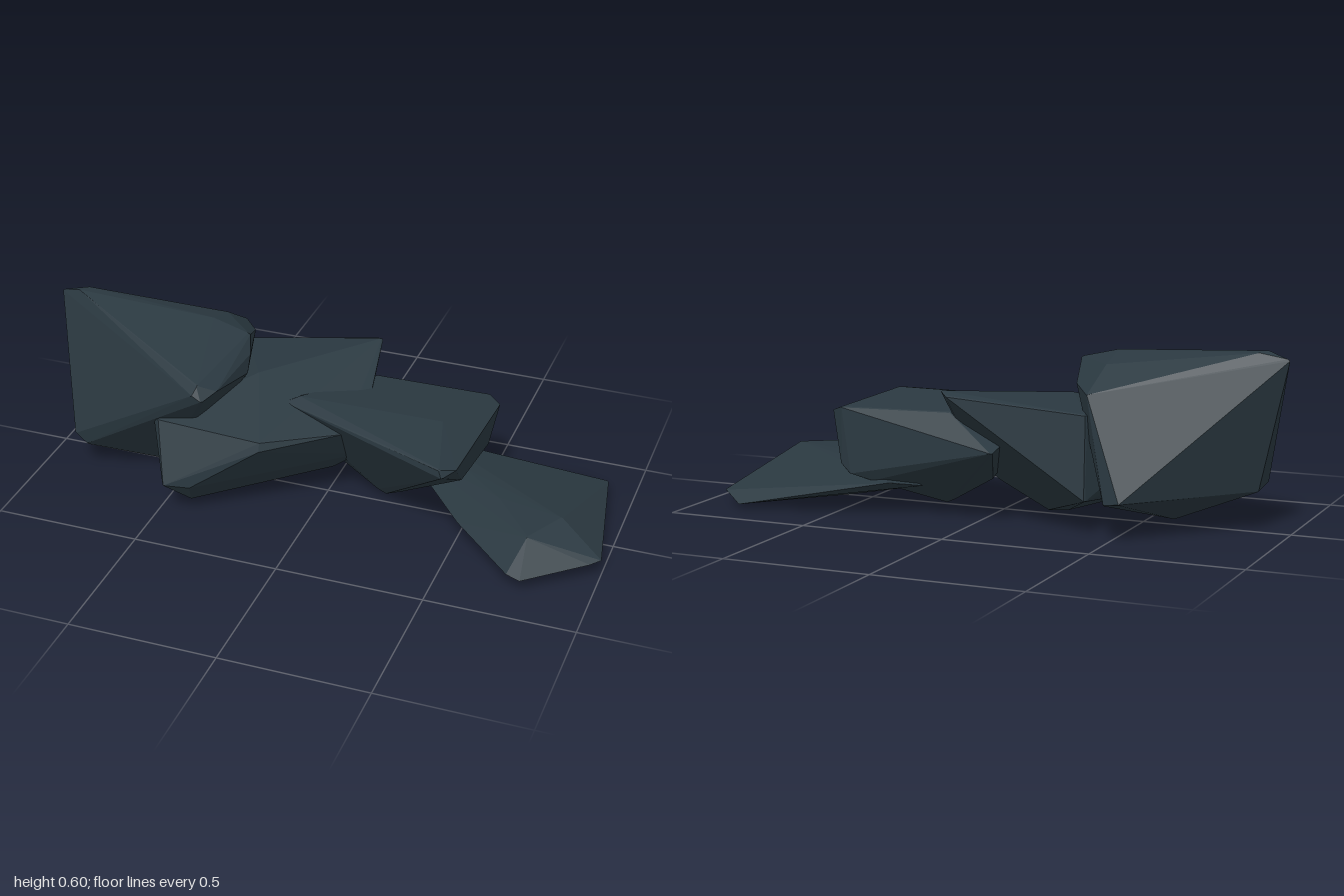
import * as THREE from 'three';
import { ConvexGeometry } from 'three/addons/geometries/ConvexGeometry.js';

// Convex boulder: every corner is chamfered into three points pulled slightly towards the middle
function boulder(name, corners, material, bevel = 0.03) {
  const pts = corners.map((c) => new THREE.Vector3(...c));
  const mid = new THREE.Box3().setFromPoints(pts).getCenter(new THREE.Vector3());
  const chamfered = [];
  for (const p of pts) {
    for (const axis of ['x', 'y', 'z']) {
      const q = p.clone().lerp(mid, bevel);
      q[axis] = p[axis];
      chamfered.push(q);
    }
  }
  const mesh = new THREE.Mesh(new ConvexGeometry(chamfered), material);
  mesh.name = name;
  return mesh;
}

export function createModel() {
  const group = new THREE.Group();
  group.name = 'rockPile';
  const stone = new THREE.MeshStandardMaterial({ color: 0x2a3840 });
  stone.name = 'dark slate';

  // Tall pointed rock at the right end
  group.add(boulder('tallRock', [
    [-1, 0.575, -0.06], [-0.93, 0.596, -0.035], [-0.91, 0.592, -0.075], [-0.42, 0.575, -0.04],
    [-0.29, 0.545, -0.03], [-0.27, 0.5, 0.02], [-0.27, 0.44, 0.05], [-0.35, 0.495, 0.28],
    [-0.33, 0.45, 0.298], [-0.36, 0.47, 0.3], [-0.3, 0.47, 0.25],
    [-0.4, 0.46, -0.28], [-0.33, 0.48, -0.18], [-0.42, 0.54, -0.16],
    [-0.54, 0.125, -0.355], [-0.48, 0.115, -0.335], [-0.88, 0.135, 0.155], [-0.84, 0.1, 0.155],
    [-0.89, 0.13, 0], [-0.6, 0.013, 0.02], [-0.5, 0.1, 0.05],
  ], stone, 0.02));

  // Broad rock leaning under the tall one
  group.add(boulder('broadRock', [
    [-0.54, 0.3, 0.23], [-0.52, 0.32, 0.25], [-0.47, 0.12, 0.34], [-0.38, 0.12, 0.325],
    [-0.4, 0.04, 0.27], [-0.14, 0.32, 0.275], [-0.14, 0.29, 0.285], [-0.22, 0.008, 0.03],
    [-0.17, 0.015, -0.02], [0.02, 0.1, 0], [0.1, 0.315, 0.12], [0.115, 0.25, 0.03],
    [0.11, 0.17, 0], [0.125, 0.36, -0.07], [0.085, 0.447, -0.325], [0.06, 0.435, -0.347],
    [-0.25, 0.418, 0], [-0.4, 0.39, -0.27], [-0.4, 0.11, -0.28],
  ], stone, 0.02));

  // Wedge-shaped rock in the middle
  group.add(boulder('wedgeRock', [
    [-0.13, 0.37, 0.075], [-0.09, 0.385, 0.05], [0.42, 0.388, 0.05], [0.48, 0.35, 0.28],
    [0.49, 0.325, 0.285], [0.52, 0.335, 0.24], [0.54, 0.34, -0.21], [0.5, 0.355, -0.235],
    [0.5, 0.21, 0.1], [0.5, 0.16, -0.235], [0.46, 0.13, -0.25], [0.38, 0.11, -0.24],
    [0.17, 0.025, -0.03], [0.2, 0.012, -0.03], [0.25, 0.025, -0.04], [0.02, 0.11, -0.05],
    [-0.09, 0.25, -0.31], [0.1, 0.36, -0.22],
  ], stone, 0.02));

  // Low flat slab at the left end
  group.add(boulder('flatRock', [
    [0.21, 0.1, -0.2], [0.3, 0.115, -0.27], [0.35, 0.09, -0.03], [0.45, 0.132, -0.1],
    [0.5, 0.07, 0.14], [0.58, 0.003, 0], [0.63, 0, 0], [0.73, 0.05, 0.345],
    [0.78, 0.045, 0.36], [1, 0.065, 0.19], [0.97, 0.06, 0.22], [0.77, 0.142, 0.25],
    [0.85, 0.153, 0.12], [0.62, 0.143, 0.06], [0.83, 0.015, -0.36], [0.91, 0.05, -0.31],
  ], stone, 0.02));

  return group;
}
